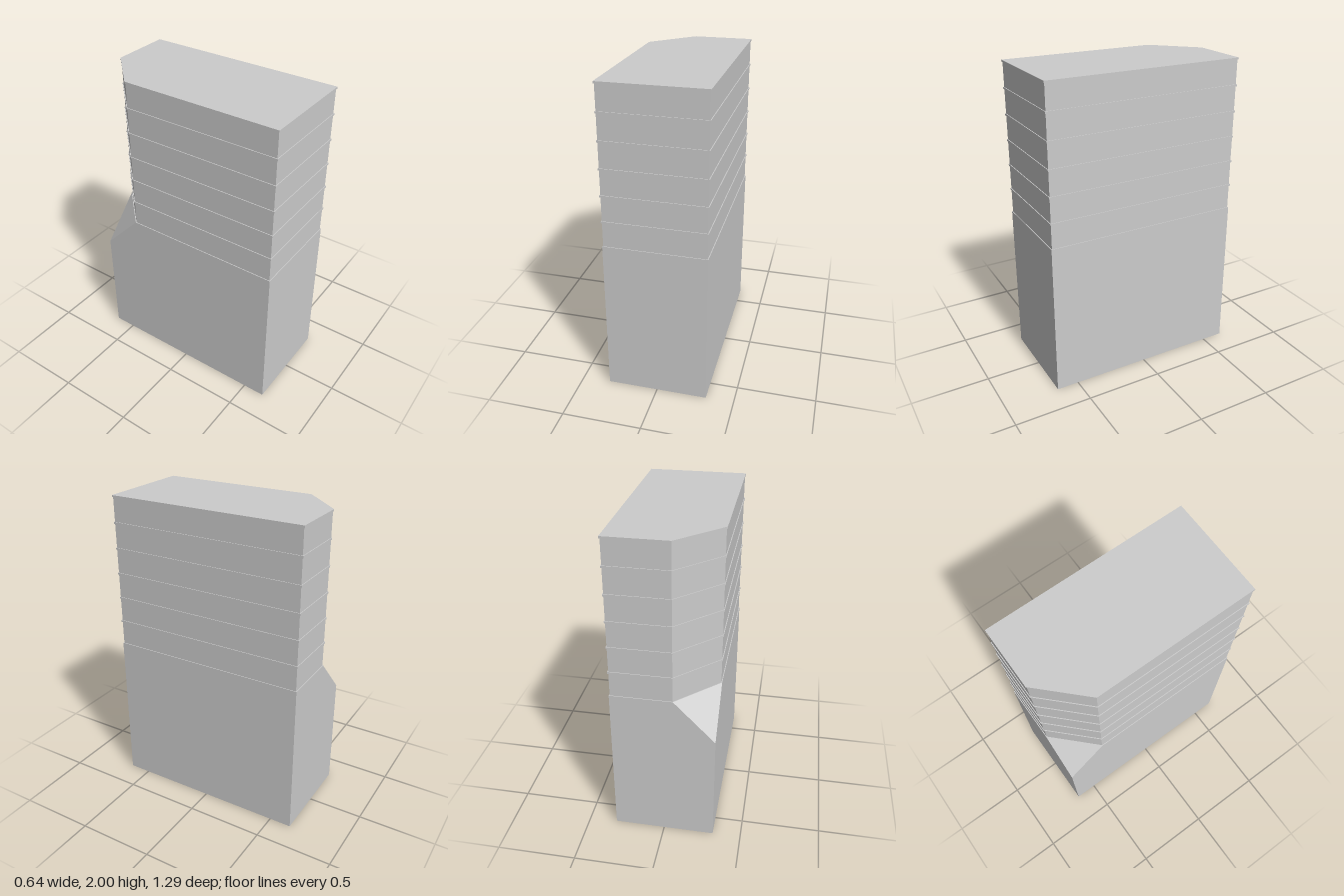
import * as THREE from 'three';
import { ConvexGeometry } from 'three/addons/geometries/ConvexGeometry.js';

const W = 0.321, D = 0.643;   // half width and half depth
const CUT = 0.257;            // size of the cut corner (back, -x)
const BASE = 1.006, TOP = 2, FLOORS = 6;
const INSET = 0.005, LEDGE = 0.012;

// Plan outline with one cut corner, as [x, z], shrunk evenly by an inset
function outline(inset) {
  const w = W - inset, d = D - inset;
  const c = CUT - inset * (2 - Math.SQRT2);
  return [[-w, d], [w, d], [w, -d], [-w + c, -d], [-w, -d + c]];
}

// Upright slab of the plan between two heights
function slab(name, inset, y0, y1, material) {
  const shape = new THREE.Shape(outline(inset).map(([x, z]) => new THREE.Vector2(x, -z)));
  const geometry = new THREE.ExtrudeGeometry(shape, { depth: y1 - y0, bevelEnabled: false });
  geometry.rotateX(-Math.PI / 2).translate(0, y0, 0);
  const mesh = new THREE.Mesh(geometry, material);
  mesh.name = name;
  return mesh;
}

export function createModel() {
  const group = new THREE.Group();
  group.name = 'towerBlock';
  const material = new THREE.MeshStandardMaterial({ color: 0xcccccc, flatShading: true });

  // Base: full rectangle at the ground, corner sloped off towards the floors above
  const points = outline(0).map(([x, z]) => new THREE.Vector3(x, BASE, z));
  for (const x of [-W, W]) for (const z of [-D, D]) points.push(new THREE.Vector3(x, 0, z));
  points.push(new THREE.Vector3(-W, 0.74, -D));
  const base = new THREE.Mesh(new ConvexGeometry(points), material);
  base.name = 'base';
  group.add(base);

  // Floors: slightly recessed walls, each capped by a thin ledge
  const step = (TOP - BASE) / FLOORS;
  for (let i = 0; i < FLOORS; i++) {
    const y = BASE + i * step, top = y + step;
    group.add(slab('floorWall' + (i + 1), INSET, y, top - LEDGE, material));
    group.add(slab(i === FLOORS - 1 ? 'roof' : 'ledge' + (i + 1), 0, top - LEDGE, top, material));
  }
  return group;
}
